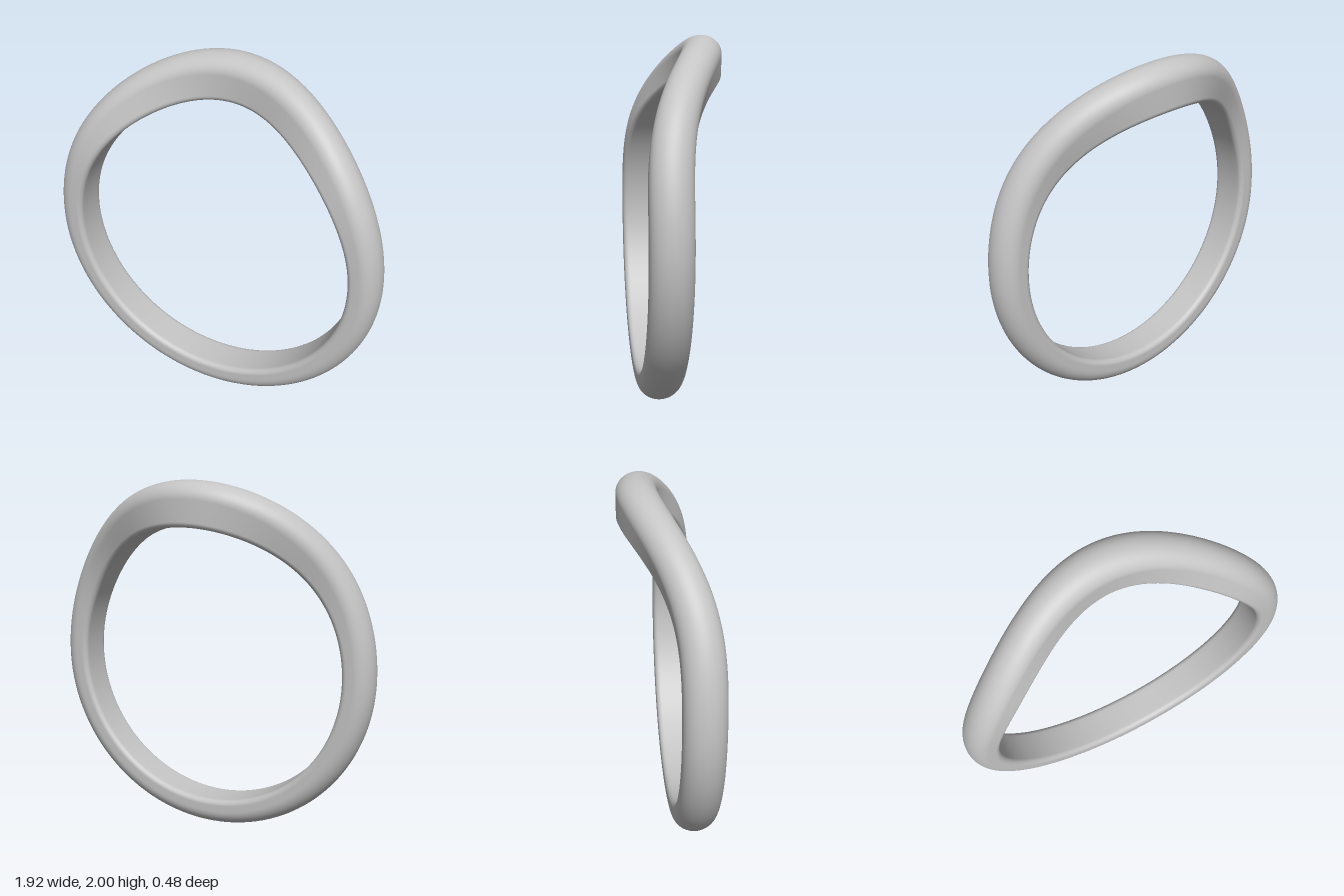
import * as THREE from 'three';

const INNER = 0.798;   // radius of the bore
const CENTRE = 0.96;   // height of the ring's centre
const HALF = 0.108;    // half of the band's width
const CROWN = 0.093;   // height of the rounded outer face
const FILLET = 0.03;   // rounding of the inner edges

// Closed band section as [across, outward] for a given thickness
function section(thick) {
  const pts = [];
  const arc = (cx, cy, rx, ry, from, to, n) => {
    for (let i = 0; i <= n; i++) {
      const a = from + (to - from) * i / n;
      pts.push([cx + rx * Math.cos(a), cy + ry * Math.sin(a)]);
    }
  };
  const P = Math.PI;
  arc(0, thick - CROWN, HALF, CROWN, 0, P, 28);                      // domed outside
  arc(-HALF + FILLET, FILLET, FILLET, FILLET, P, 1.5 * P, 6);        // inner back edge
  for (let i = 1; i < 6; i++) pts.push([(HALF - FILLET) * (i / 3 - 1), 0]); // flat inside
  arc(HALF - FILLET, FILLET, FILLET, FILLET, 1.5 * P, 2 * P, 6);     // inner front edge
  return pts;
}

function bandGeometry(steps) {
  const pos = [], index = [];
  let n = 0;
  for (let i = 0; i < steps; i++) {
    const a = i / steps * Math.PI * 2;                // measured from the top
    const up = Math.max(0, Math.cos(a));
    const bend = 0.13 - 0.26 * Math.pow(up, 4.3);     // the top sweeps backwards
    const pts = section(0.16 + 0.082 * up * up);      // and grows thicker
    n = pts.length;
    for (const [w, t] of pts) {
      const r = INNER + t;
      pos.push(r * Math.sin(a), CENTRE + r * Math.cos(a), bend + w);
    }
    const next = (i + 1) % steps;
    for (let j = 0; j < n; j++) {
      const k = (j + 1) % n;
      const p = i * n + j, q = i * n + k, s = next * n + j, u = next * n + k;
      index.push(p, s, q, q, s, u);
    }
  }
  const geo = new THREE.BufferGeometry();
  geo.setAttribute('position', new THREE.Float32BufferAttribute(pos, 3));
  geo.setIndex(index);
  geo.computeVertexNormals();
  return geo;
}

export function createModel() {
  const group = new THREE.Group();
  group.name = 'curvedRing';
  const silver = new THREE.MeshStandardMaterial({ color: 0xc4c4c4 });
  silver.name = 'silver';
  const band = new THREE.Mesh(bandGeometry(192), silver);
  band.name = 'band';
  group.add(band);
  return group;
}
